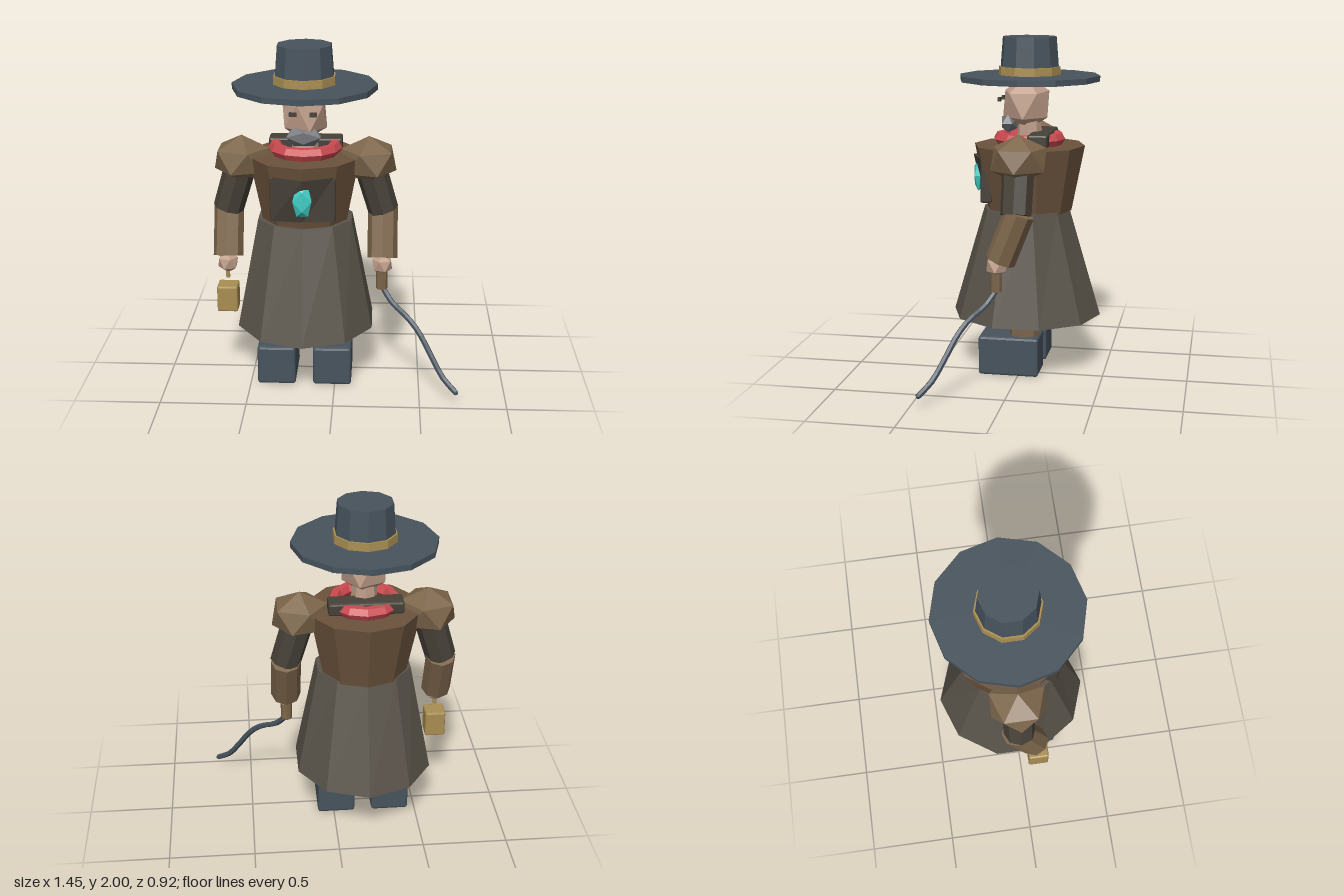
import * as THREE from 'three';
import { RoundedBoxGeometry } from 'three/addons/geometries/RoundedBoxGeometry.js';

export function createModel() {
  const model = new THREE.Group();
  model.name = 'lanternBearer';
  const mat = (name, color) => {
    const m = new THREE.MeshStandardMaterial({ color, flatShading: true });
    m.name = name;
    return m;
  };
  const coat = mat('coatBrown', 0x6b533c);
  const leather = mat('leatherBrown', 0x7d664b);
  const skirtCloth = mat('skirtGreyBrown', 0x5a544a);
  const dark = mat('darkCloth', 0x464138);
  const slate = mat('slate', 0x47535d);
  const gold = mat('gold', 0xa98e52);
  const skin = mat('skin', 0xc09e8a);
  const red = mat('scarfRed', 0xcb4a50);
  const teal = mat('gemTeal', 0x40cdc4);
  const grey = mat('maskGrey', 0x73757a);

  const CX = -0.18, CZ = -0.025; // body axis
  const add = (name, geo, material, x, y, z) => {
    const m = new THREE.Mesh(geo, material);
    m.name = name;
    m.position.set(x, y, z);
    model.add(m);
    return m;
  };
  const cyl = (name, material, rTop, rBottom, y0, y1, sides, x = CX, z = CZ) =>
    add(name, new THREE.CylinderGeometry(rTop, rBottom, y1 - y0, sides), material, x, (y0 + y1) / 2, z);
  const box = (name, material, x0, x1, y0, y1, z0, z1, bevel = 0.012) =>
    add(name, new RoundedBoxGeometry(x1 - x0, y1 - y0, z1 - z0, 1, bevel), material,
      (x0 + x1) / 2, (y0 + y1) / 2, (z0 + z1) / 2);
  // faceted lump, turned about z before being stretched
  const lump = (name, material, x, y, z, rx, ry, rz, turn = 0) =>
    add(name, new THREE.IcosahedronGeometry(1, 0).rotateZ(turn).scale(rx, ry, rz), material, x, y, z);
  // straight limb between two points
  const limb = (name, material, a, b, rA, rB, sides) => {
    const from = new THREE.Vector3(...a), to = new THREE.Vector3(...b);
    const dir = to.clone().sub(from);
    const mid = from.clone().add(to).multiplyScalar(0.5);
    const m = add(name, new THREE.CylinderGeometry(rB, rA, dir.length(), sides), material, mid.x, mid.y, mid.z);
    m.quaternion.setFromUnitVectors(new THREE.Vector3(0, 1, 0), dir.normalize());
    return m;
  };

  // hat
  cyl('hatBrim', slate, 0.418, 0.418, 1.742, 1.776, 12);
  cyl('hatCrown', slate, 0.16, 0.178, 1.77, 2.0, 10);
  cyl('hatBand', gold, 0.184, 0.186, 1.778, 1.826, 10);

  // head
  lump('head', skin, CX, 1.605, CZ + 0.02, 0.148, 0.165, 0.156, 0.5);
  lump('mouthMask', grey, CX, 1.492, 0.093, 0.115, 0.064, 0.056);
  for (const s of [-1, 1]) {
    add('eye', new THREE.BoxGeometry(0.042, 0.024, 0.016), dark, CX + s * 0.058, 1.633, 0.145);
  }
  cyl('neck', skin, 0.07, 0.08, 1.34, 1.52, 8);

  // scarf and collar
  add('scarf', new THREE.TorusGeometry(0.175, 0.04, 6, 12).rotateX(Math.PI / 2), red, CX, 1.4, CZ);
  box('collarPad', dark, -0.395, 0.035, 1.37, 1.445, -0.165, -0.045);

  // torso
  cyl('torso', coat, 0.333, 0.255, 0.97, 1.362, 10);

  // skirt: ten-sided flare, stretched differently at the waist and hem
  const skirt = new THREE.CylinderGeometry(1, 1, 0.655, 10);
  const sp = skirt.attributes.position;
  for (let i = 0; i < sp.count; i++) {
    const top = sp.getY(i) > 0;
    sp.setX(i, sp.getX(i) * (top ? 0.287 : 0.418));
    sp.setZ(i, sp.getZ(i) * (top ? 0.257 : 0.45));
  }
  add('coatSkirt', skirt, skirtCloth, CX, 0.6575, -0.01);

  // chest panel, bowed out along its middle to wrap the torso
  const panel = new RoundedBoxGeometry(0.375, 0.265, 0.067, 1, 0.012);
  const bowed = new THREE.BoxGeometry(0.35, 0.262, 0.06, 2, 1, 1);
  const bp = bowed.attributes.position;
  for (let i = 0; i < bp.count; i++) {
    if (Math.abs(bp.getX(i)) < 0.01 && bp.getZ(i) > 0) {
      bp.setZ(i, bp.getZ(i) + (bp.getY(i) > 0 ? 0.078 : 0.02));
    }
  }
  add('chestPanel', panel, dark, CX, 1.163, 0.204);
  add('chestPanelFront', bowed, dark, CX, 1.163, 0.208);
  lump('chestGem', teal, CX, 1.168, 0.282, 0.063, 0.108, 0.034);

  for (const s of [-1, 1]) {
    const x = (d) => CX + s * d;
    const side = s > 0 ? 'left' : 'right';
    // arms
    lump(side + 'Shoulder', leather, x(0.37), 1.328, CZ, 0.18, 0.14, 0.18, s * 0.5536);
    limb(side + 'UpperArm', dark, [x(0.458), 1.02, CZ], [x(0.365), 1.33, CZ], 0.09, 0.094, 8);
    limb(side + 'Forearm', leather, [x(0.455), 0.752, 0.066], [x(0.455), 1.035, -0.045], 0.088, 0.088, 8);
    lump(side + 'Hand', skin, x(0.455), 0.722, 0.088, 0.066, 0.066, 0.066, s * 0.5536);
    // legs
    cyl(side + 'Leg', leather, 0.093, 0.093, 0.2, 0.42, 8, x(0.165), CZ);
    box(side + 'Boot', slate, x(0.165) - 0.113, x(0.165) + 0.113, 0, 0.238, -0.123, 0.237, 0.015);
  }

  // lantern
  cyl('lanternHandle', gold, 0.013, 0.013, 0.625, 0.69, 6, -0.637, 0.09);
  box('lantern', gold, -0.699, -0.577, 0.425, 0.585, 0.03, 0.15, 0.01);

  // whip
  cyl('whipHandle', leather, 0.034, 0.034, 0.57, 0.7, 8, 0.273, 0.09);
  const path = new THREE.CatmullRomCurve3([
    [0.273, 0.585, 0.085], [0.335, 0.5, 0.14], [0.43, 0.435, 0.22], [0.495, 0.365, 0.27],
    [0.575, 0.23, 0.335], [0.635, 0.135, 0.385], [0.708, 0.072, 0.445],
  ].map((p) => new THREE.Vector3(...p)));
  add('whipLash', new THREE.TubeGeometry(path, 14, 0.017, 6), slate, 0, 0, 0);
  const tip = path.getPoint(1);
  lump('whipTip', slate, tip.x, tip.y, tip.z, 0.017, 0.017, 0.017);

  return model;
}
